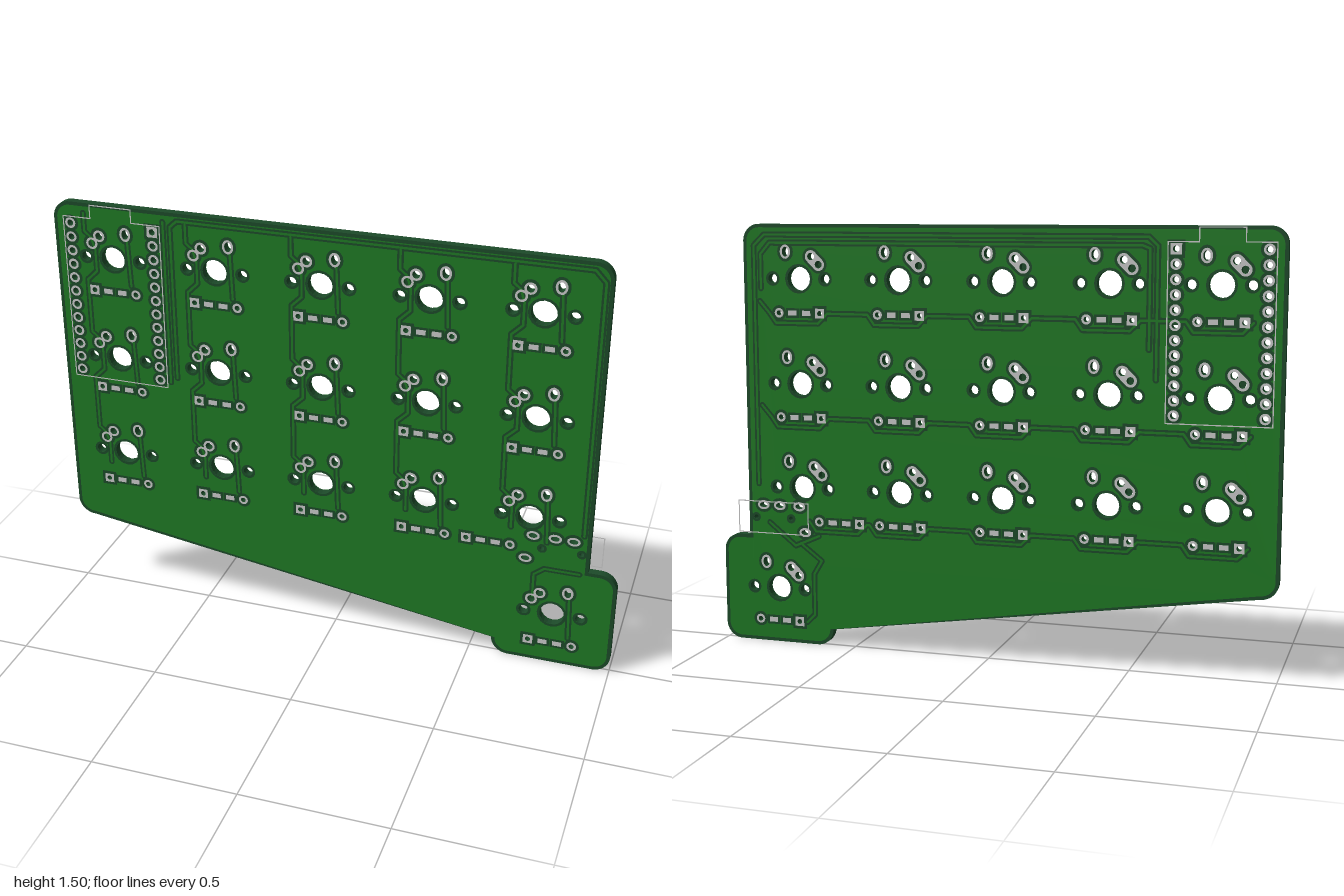
import * as THREE from 'three';
import { mergeGeometries } from 'three/addons/utils/BufferGeometryUtils.js';

const HALF = 0.0145;                       // half thickness of the bare board
const STEP = 0.0005;                       // height of each printed layer
const COLS = [-0.79, -0.42, -0.05, 0.32, 0.69];
const ROWS = [1.315, 0.945, 0.572];
const THUMB = [0.787, 0.2];

const mat = (color) => new THREE.MeshStandardMaterial({ color, side: THREE.DoubleSide });
const DARK = mat(0x1c4a29), GREEN = mat(0x1f7a24), GREY = mat(0xcccccc);

// Board silhouette with a thumb tab, inset by d
function outline(d) {
  const s = new THREE.Shape(), r = 0.06 - d, H = Math.PI / 2;
  const L = -1 + d, T = 1.505 - d, R = 0.9 - d, B = 0.285 + d;
  const tl = 0.58 + d, tr = 1 - d, tt = 0.39 - d, tb = d;
  s.moveTo(tl, B);
  s.absarc(tl + r, tb + r, r, 2 * H, 3 * H);
  s.absarc(tr - r, tb + r, r, -H, 0);
  s.absarc(tr - r, tt - r, r, 0, H);
  s.lineTo(R, tt);
  s.absarc(R - r, T - r, r, 0, H);
  s.absarc(L + r, T - r, r, H, 2 * H);
  s.absarc(L + r, B + r, r, 2 * H, 3 * H);
  s.closePath();
  return s;
}

const ellipse = (h, grow = 0, Type = THREE.Path) => {
  const p = new Type();
  p.absellipse(h.x, h.y, h.rx + grow, h.ry + grow, 0, Math.PI * 2, false, 0);
  return p;
};
const rect = (x, y, w, h) => new THREE.Shape([[-1, -1], [1, -1], [1, 1], [-1, 1]]
  .map(([a, b]) => new THREE.Vector2(x + a * w / 2, y + b * h / 2)));

// Shape enclosing a pair of holes
function capsule(a, b, r) {
  const t = Math.atan2(b.y - a.y, b.x - a.x), H = Math.PI / 2, s = new THREE.Shape();
  s.absarc(b.x, b.y, r, t - H, t + H);
  s.absarc(a.x, a.y, r, t + H, t + 3 * H);
  s.closePath();
  s.holes.push(ellipse(a), ellipse(b));
  return s;
}

// Flat polyline with round joints
function strip(pts, w) {
  const shapes = [];
  pts.forEach(([x, y], i) => {
    shapes.push(ellipse({ x, y, rx: w / 2, ry: w / 2 }, 0, THREE.Shape));
    if (!i) return;
    const [px, py] = pts[i - 1], l = Math.hypot(x - px, y - py);
    const nx = -(y - py) / l * w / 2, ny = (x - px) / l * w / 2;
    shapes.push(new THREE.Shape([[px - nx, py - ny], [x - nx, y - ny], [x + nx, y + ny], [px + nx, py + ny]]
      .map((p) => new THREE.Vector2(...p))));
  });
  return shapes;
}

export function createModel() {
  const group = new THREE.Group();
  const holes = [], pairs = [], lands = [];
  const hole = (x, y, rx, ry = rx, pad = 'round') => {
    const h = { x, y, rx, ry, pad };
    holes.push(h);
    return h;
  };

  // Switch footprints
  const keys = ROWS.flatMap((y) => COLS.map((x) => [x, y]));
  keys.push(THUMB);
  for (const [x, y] of keys) {
    hole(x, y, 0.043, 0.043, 'none');
    for (const s of [-1, 1]) hole(x + s * 0.099, y, 0.017, 0.017, 'none');
    pairs.push([hole(x - 0.075, y + 0.05, 0.013), hole(x - 0.047, y + 0.078, 0.013)]);
    hole(x + 0.05, y + 0.094, 0.012, 0.017);
  }

  // Diode footprints, one moved aside for the jack
  const diodes = keys.map(([x, y]) => [x === 0.69 && y === ROWS[2] ? 0.55 : x, y - 0.12]);
  for (const [x, y] of diodes) {
    hole(x - 0.077, y, 0.009, 0.009, 'square');
    hole(x + 0.077, y, 0.009);
    for (const s of [-1, 1]) lands.push([x + s * 0.026, y]);
  }

  // Controller pin rows
  for (let i = 0; i < 12; i++) {
    const y = 1.43 - i * 0.0496;
    hole(-0.94, y, 0.011);
    hole(-0.64, y, 0.011, 0.011, i ? 'round' : 'square');
  }

  // Jack holes
  for (const [x, y] of [[0.704, 0.503], [0.78, 0.503], [0.843, 0.503], [0.682, 0.41]]) hole(x, y, 0.015, 0.009);
  for (const x of [0.737, 0.873]) hole(x, 0.457, 0.008, 0.008, 'none');

  // Drilled board
  const drilled = (d) => {
    const s = outline(d);
    s.holes = holes.map((h) => ellipse(h));
    return s;
  };
  const bodyGeo = new THREE.ExtrudeGeometry(drilled(0), { depth: HALF * 2, bevelEnabled: false, curveSegments: 10 });
  const body = new THREE.Mesh(bodyGeo.translate(0, 0, -HALF), DARK);
  body.name = 'board';
  group.add(body);

  const flat = (name, shapes, material, side, level) => {
    const geo = mergeGeometries(shapes.map((s) => new THREE.ShapeGeometry(s, 8)));
    const mesh = new THREE.Mesh(geo, material);
    mesh.name = name;
    mesh.position.z = side * (HALF + level * STEP);
    group.add(mesh);
  };
  const ring = (h, grow) => {
    const s = h.pad === 'square' ? rect(h.x, h.y, 2 * (h.rx + grow), 2 * (h.ry + grow)) : ellipse(h, grow, THREE.Shape);
    s.holes.push(ellipse(h));
    return s;
  };

  // Front traces: top bus, column lines, switch to diode links, thumb link
  const frontTraces = [
    [[-0.575, 0.9], [-0.575, 1.455], [-0.55, 1.478], [0.84, 1.478], [0.876, 1.44], [0.876, 0.53]],
    [[-0.6, 0.88], [-0.6, 1.47]],
    [[0.715, 0.26], [0.715, 0.35], [0.75, 0.378], [0.87, 0.378]],
  ];
  for (const cx of COLS) {
    const line = [[cx - 0.1, 1.47]];
    ROWS.forEach((y, i) => {
      line.push([cx - 0.1, y + 0.09], [cx - 0.078, y + 0.072]);
      line.push([cx - 0.064, y + 0.028], [cx - 0.064, y - 0.05]);
      if (i < 2) line.push([cx - 0.1, y - 0.085]);
    });
    frontTraces.push(line);
  }
  for (const [x, y] of keys) frontTraces.push([[x + 0.056, y + 0.07], [x + 0.062, y - 0.09]]);

  // Back traces: top and side buses, row lines, thumb link
  const backTraces = [
    [[-0.58, 1.0], [-0.58, 1.44], [-0.55, 1.468], [0.82, 1.468], [0.86, 1.43], [0.86, 0.58]],
    [[-0.555, 1.1], [-0.555, 1.43], [-0.53, 1.44], [0.8, 1.44], [0.835, 1.4], [0.835, 1.28]],
    [[0.7, 0.37], [0.62, 0.31], [0.65, 0.26], [0.65, 0.11], [0.68, 0.08]],
    [[0.63, 0.4], [0.72, 0.36], [0.77, 0.4], [0.82, 0.44]],
  ];
  ROWS.forEach((_, r) => {
    const line = [];
    for (const [x, y] of diodes.slice(r * 5, r * 5 + 5)) {
      line.push([x - 0.105, y], [x - 0.07, y - 0.035], [x + 0.09, y - 0.035], [x + 0.115, y]);
    }
    if (r < 2) line.push([0.84, line.at(-1)[1] + 0.04]);
    backTraces.push(line);
  });

  // Printed layers on both faces
  for (const [side, label, traces] of [[1, 'front', frontTraces], [-1, 'back', backTraces]]) {
    const single = side > 0 ? holes : holes.filter((h) => !pairs.flat().includes(h));
    const around = (r) => (side > 0 ? [] : pairs.map(([a, b]) => capsule(a, b, r)));
    flat(label + 'Copper', [drilled(0.012)], GREEN, side, 1);
    flat(label + 'Clearances', [
      ...single.map((h) => ring(h, h.pad === 'none' ? 0.009 : 0.018)),
      ...around(0.031),
      ...lands.map(([x, y]) => rect(x, y, 0.05, 0.034)),
      ...traces.flatMap((t) => strip(t, 0.022)),
    ], DARK, side, 2);
    flat(label + 'Traces', traces.flatMap((t) => strip(t, 0.008)), GREEN, side, 3);
    flat(label + 'Pads', [
      ...single.filter((h) => h.pad !== 'none').map((h) => ring(h, 0.008)),
      ...around(0.022),
      ...lands.map(([x, y]) => rect(x, y, 0.032, 0.018)),
    ], GREY, side, 4);

    // Controller outline with its connector notch
    flat(label + 'ControllerOutline', strip([
      [-0.965, 0.858], [-0.613, 0.858], [-0.613, 1.453], [-0.715, 1.453], [-0.715, 1.5],
      [-0.865, 1.5], [-0.865, 1.453], [-0.965, 1.453], [-0.965, 0.858],
    ], 0.004), GREY, side, 4);
  }

  // Jack outline overhanging the right edge
  flat('jackOutline', strip([[0.67, 0.4], [0.94, 0.4], [0.94, 0.515], [0.67, 0.515], [0.67, 0.4]], 0.004), GREY, -1, 5);

  return group;
}
